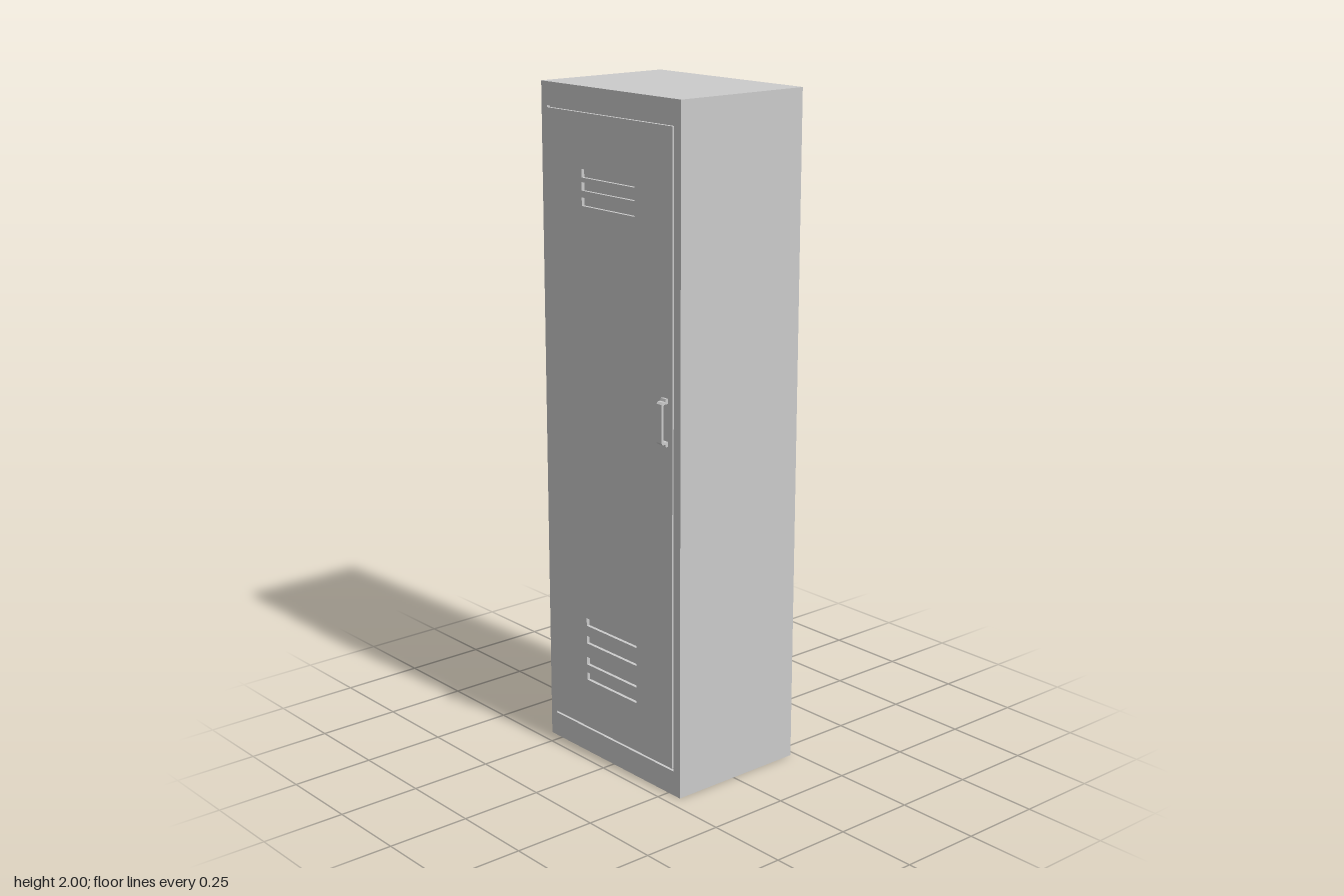
import * as THREE from 'three';

const W = 0.3, H = 2, BACK = -0.233, SEAM = 0.2, FRONT = 0.21;

function polygon(points, Type = THREE.Shape) {
  return new Type(points.map(([x, y]) => new THREE.Vector2(x, y)));
}

function rect(x0, x1, y0, y1, Type) {
  return polygon([[x0, y0], [x1, y0], [x1, y1], [x0, y1]], Type);
}

export function createModel() {
  const locker = new THREE.Group();
  locker.name = 'locker';
  const material = new THREE.MeshStandardMaterial({ color: 0xcccccc });

  const add = (name, geometry) => {
    const mesh = new THREE.Mesh(geometry, material);
    mesh.name = name;
    locker.add(mesh);
    return mesh;
  };

  // Cabinet behind the front sheet
  add('cabinet', new THREE.BoxGeometry(2 * W, H, SEAM - BACK))
    .position.set(0, H / 2, (SEAM + BACK) / 2);

  // Front sheet, with the door gap cut on three sides (hinged on the right)
  const sheet = rect(-W, W, 0, H);
  const gap = 0.006, hinge = -0.275, edge = 0.272, low = 0.075, high = 1.933;
  sheet.holes.push(polygon([
    [hinge, low], [edge, low], [edge, high], [hinge, high],
    [hinge, high - gap], [edge - gap, high - gap], [edge - gap, low + gap], [hinge, low + gap],
  ], THREE.Path));

  // Ventilation slots: three above, four below
  for (const y of [1.758, 1.721, 1.678, 0.418, 0.362, 0.294, 0.245]) {
    sheet.holes.push(rect(-0.122, 0.108, y - 0.012, y + 0.012, THREE.Path));
  }
  add('frontDoor', new THREE.ExtrudeGeometry(sheet, { depth: FRONT - SEAM, bevelEnabled: false }))
    .position.z = SEAM;

  // Bracket handle: side profile (z, y) with flared feet, extruded across x
  const mid = 1.113;
  const half = [[0.21, 0.069], [0.217, 0.069], [0.219, 0.061], [0.228, 0.061], [0.233, 0.055]];
  const inner = [[0.225, 0.05], [0.222, 0.054], [0.21, 0.054]];
  const upper = [...half, ...[...half].reverse().map(([z, y]) => [z, -y])];
  const lower = [...[...inner].reverse().map(([z, y]) => [z, -y]), ...inner];
  const profile = polygon([...upper, ...lower].map(([z, y]) => [z, mid + y]));
  const handle = new THREE.ExtrudeGeometry(profile, { depth: 0.021, bevelEnabled: false });
  handle.rotateY(-Math.PI / 2);
  add('handle', handle).position.x = 0.247;

  return locker;
}
